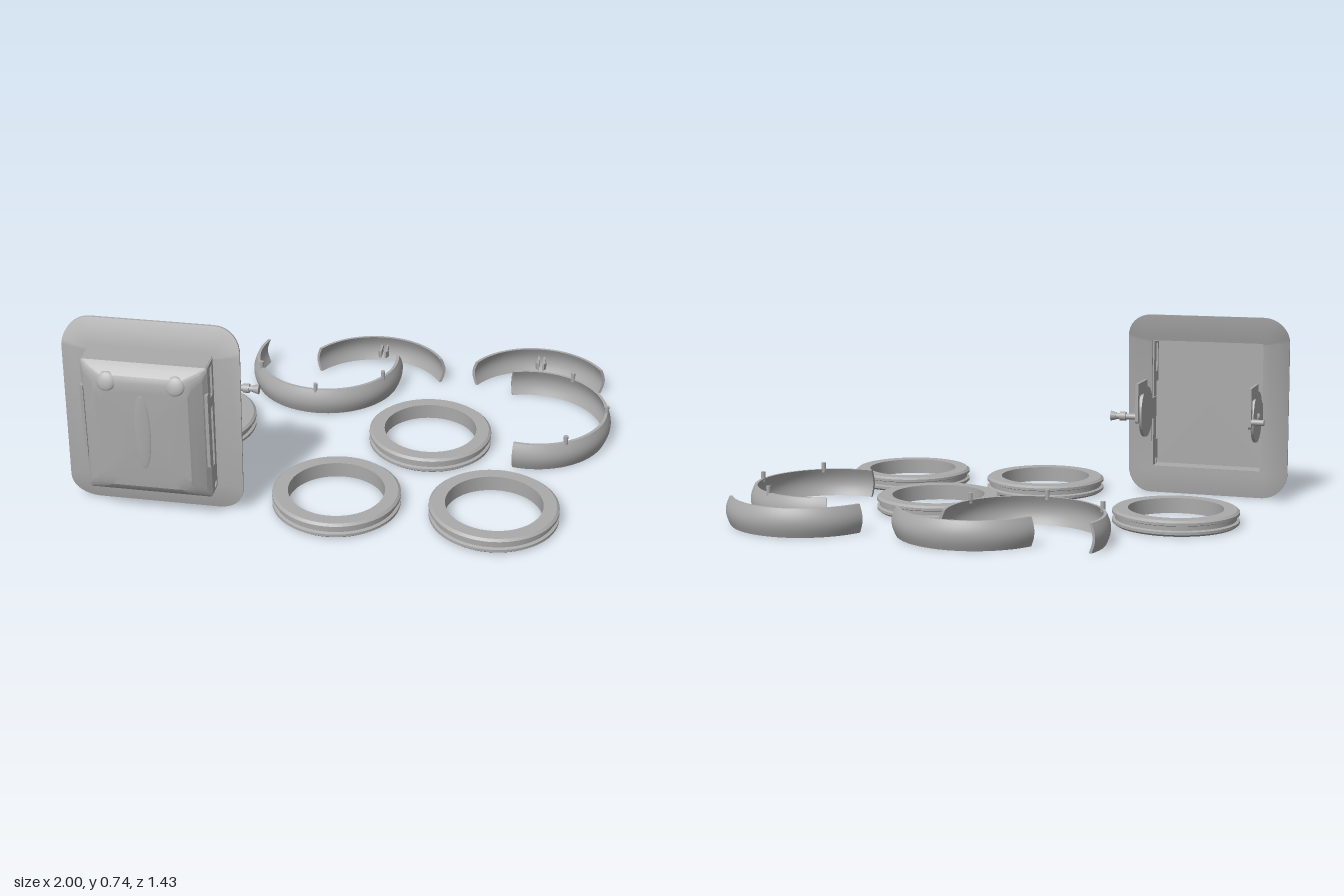
import * as THREE from 'three';
import { toCreasedNormals } from 'three/addons/utils/BufferGeometryUtils.js';

const V2 = (x, y) => new THREE.Vector2(x, y);
const rad = THREE.MathUtils.degToRad;

// Counter-clockwise rounded rectangle, flat in z
function roundRect(hw, hh, r, z, cy = 0) {
  const pts = [], n = 8;
  [[1, 1], [-1, 1], [-1, -1], [1, -1]].forEach(([sx, sy], q) => {
    for (let i = 0; i <= n; i++) {
      const a = (q + i / n) * Math.PI / 2;
      pts.push([sx * (hw - r) + r * Math.cos(a), cy + sy * (hh - r) + r * Math.sin(a), z]);
    }
  });
  return pts;
}

// Skin a row of equal-length closed sections
function loft(rings, crease = 0.5) {
  const pos = [];
  for (let i = 0; i < rings.length - 1; i++) {
    const n = rings[i].length;
    for (let j = 0; j < n; j++) {
      const k = (j + 1) % n;
      const [a, b, c, d] = [rings[i][j], rings[i][k], rings[i + 1][k], rings[i + 1][j]];
      pos.push(...a, ...b, ...c, ...a, ...c, ...d);
    }
  }
  const g = new THREE.BufferGeometry();
  g.setAttribute('position', new THREE.Float32BufferAttribute(pos, 3));
  g.computeVertexNormals();
  return toCreasedNormals(g, crease);
}

export function createModel() {
  const grey = new THREE.MeshStandardMaterial({ color: 0xaaaaaa, side: THREE.DoubleSide });
  grey.name = 'grey';
  const model = new THREE.Group();
  const add = (parent, name, geo, x = 0, y = 0, z = 0) => {
    const m = new THREE.Mesh(geo, grey);
    m.name = name;
    m.position.set(x, y, z);
    parent.add(m);
    return m;
  };
  const group = (name, x, y, z) => {
    const g = new THREE.Group();
    g.name = name;
    g.position.set(x, y, z);
    model.add(g);
    return g;
  };
  const box = (w, h, d) => new THREE.BoxGeometry(w, h, d);

  // Four grooved rings lying flat
  const ringProfile = [[.183, 0], [.233, 0], [.243, .008], [.243, .018], [.232, .022], [.232, .038],
    [.243, .042], [.243, .052], [.233, .06], [.183, .06], [.183, 0]].map(p => V2(...p));
  const ringGeo = toCreasedNormals(new THREE.LatheGeometry(ringProfile, 72), 0.4);
  [[-.667, -.01], [.287, -.04], [-.005, .463], [.59, .463]].forEach(([x, z]) => add(model, 'groovedRing', ringGeo, x, 0, z));

  // Bulged curved shells, with end caps
  const shell = [];
  for (let i = 0; i <= 10; i++) shell.push(V2(.301 + .016 * Math.sin(i / 10 * Math.PI), i * .011));
  for (let i = 10; i >= 0; i--) shell.push(V2(.289 + .016 * Math.sin(i / 10 * Math.PI), i * .011));
  const capShape = new THREE.Shape(shell);
  function addArc(name, x, z, from, to) {
    const g = group(name, x, 0, z);
    const geo = new THREE.LatheGeometry([...shell, shell[0]], 56, rad(from), rad(to - from));
    add(g, 'shell', toCreasedNormals(geo, 0.6));
    [from, to].forEach(a => { add(g, 'endCap', new THREE.ShapeGeometry(capShape)).rotation.y = rad(a - 90); });
    return g;
  }

  // Long arcs carry three upright pins
  [['frontOpenArc', -.208, -.485, 0], ['sideOpenArc', .68, -.193, 90]].forEach(([name, x, z, mid]) => {
    const g = addArc(name, x, z, mid - 110, mid + 100 + (mid ? 10 : 0));
    if (mid) g.children[0].geometry = toCreasedNormals(
      new THREE.LatheGeometry([...shell, shell[0]], 56, rad(-10), rad(210)), 0.6);
    if (mid) [-10, 200].forEach((a, i) => { g.children[1 + i].rotation.y = rad(a - 90); });
    [-60, 0, 60].forEach(o => {
      const a = rad(mid + o);
      add(g, 'pin', new THREE.CylinderGeometry(.009, .009, .04, 12), .297 * Math.sin(a), .117, .297 * Math.cos(a));
    });
  });

  // Short arcs carry a pair of snap prongs
  [['leftShortArc', .005, 117, 240], ['rightShortArc', .685, 120, 243]].forEach(([name, x, from, to]) => {
    const g = addArc(name, x, -.395, from, to);
    [-1, 1].forEach(s => {
      const prong = new THREE.Shape([[.007, 0], [.016, 0], [.016, .045], [.023, .048], [.014, .068], [.007, .068]]
        .map(([px, py]) => V2(s * px, py)));
      const geo = new THREE.ExtrudeGeometry(prong, { depth: .03, bevelEnabled: false });
      add(g, 'snapProng', geo.rotateX(Math.PI / 2), 0, .07, -.3);
    });
  });

  // Mounting unit: flanged plate with sides swept forward and top swept back
  const unit = group('mountingUnit', -.668, .372, 0);
  const sweep = (pts) => pts.map(([x, y, z]) => {
    const side = Math.max(0, Math.abs(x) - .24) / .092;
    const top = Math.max(0, y - .22) / .153;
    return [x, y, z + .02 * side * side * (1 - Math.min(1, top)) - .04 * top];
  });
  const flange = [
    roundRect(.229, .265, .006, .548), roundRect(.25, .28, .02, .548), roundRect(.29, .325, .06, .548),
    roundRect(.332, .372, .1, .555), roundRect(.332, .372, .1, .564), roundRect(.29, .325, .06, .575),
    roundRect(.25, .28, .02, .577), roundRect(.229, .265, .006, .577), roundRect(.229, .265, .006, .548),
  ].map(sweep);
  // sections run back inner, outer rim, front inner
  add(unit, 'flange', loft(flange, 0.6));

  // Domed body with a closed back panel
  const body = [
    roundRect(.002, .002, .001, .63), roundRect(.235, .27, .012, .63), roundRect(.235, .27, .012, .655),
    roundRect(.22, .256, .03, .675), roundRect(.185, .235, .04, .697),
    roundRect(.172, .215, .05, .707, -.003), roundRect(.14, .18, .04, .71, -.003), roundRect(.002, .002, .001, .71),
  ];
  add(unit, 'body', loft(body, 0.35));
  add(unit, 'centreBulge', new THREE.SphereGeometry(1, 24, 16).scale(.03, .155, .006), 0, .015, .709);
  [-1, 1].forEach(s => {
    const b = add(unit, 'roundButton', new THREE.SphereGeometry(1, 24, 16).scale(.036, .036, .012), s * .127, .212, .7);
    b.rotation.x = -.4;
  });

  // Slotted side walls between flange and body, and solid top and bottom walls
  const wall = new THREE.Shape([V2(.55, -.267), V2(.635, -.267), V2(.635, .267), V2(.55, .267)]);
  [[.587, .616, -.257, -.235], [.597, .63, -.157, .088], [.587, .616, .13, .248]].forEach(([a, b, c, d]) =>
    wall.holes.push(new THREE.Path([V2(a, c), V2(a, d), V2(b, d), V2(b, c)])));
  const wallGeo = new THREE.ExtrudeGeometry(wall, { depth: .01, bevelEnabled: false }).rotateY(-Math.PI / 2);
  [-.223, .233].forEach(x => add(unit, 'slottedWall', wallGeo, x));
  [-1, 1].forEach(s => {
    add(unit, 'endWall', box(.46, .01, .085), 0, s * .265, .592);
    add(unit, 'sidePocketRail', box(.012, .3, .022), s * .231, .02, .664);
  });

  // Hinge plates: strap, disc and hooked arm with an outward stub
  const arm = new THREE.Shape([[.265, -.03], [.29, -.03], [.29, .068], [.425, .068], [.425, .118], [.265, .118]]
    .map(p => V2(...p)));
  const armGeo = new THREE.ExtrudeGeometry(arm, { depth: .012, bevelEnabled: false }).rotateY(-Math.PI / 2);
  const alongX = (r0, r1, len) => new THREE.CylinderGeometry(r0, r1, len, 28).rotateZ(Math.PI / 2);
  [-1, 1].forEach(s => {
    const x = s * .226;
    add(unit, 'hingeStrap', box(.012, .084, .11), x, -.015, .535);
    add(unit, 'hingeDisc', alongX(.102, .102, .012), x, -.015, .423);
    add(unit, 'hookedArm', armGeo, x + .006);
    add(unit, 'armTip', alongX(.0125, .0125, .012), x, -.03, .2775);
    add(unit, 'discBoss', new THREE.SphereGeometry(.015, 16, 10).scale(.7, 1, 1), x + s * .006, -.015, .423);
    add(unit, 'armStub', alongX(.012, .012, .05), x + s * .03, -.015, .2775);
  });

  // Stepped knob on the left stub
  add(unit, 'knobCollar', alongX(.018, .018, .024), .284, -.015, .2775);
  add(unit, 'knobNeck', alongX(.012, .012, .02), .304, -.015, .2775);
  add(unit, 'knobTip', alongX(.014, .02, .022), .322, -.015, .2775);

  return model;
}
